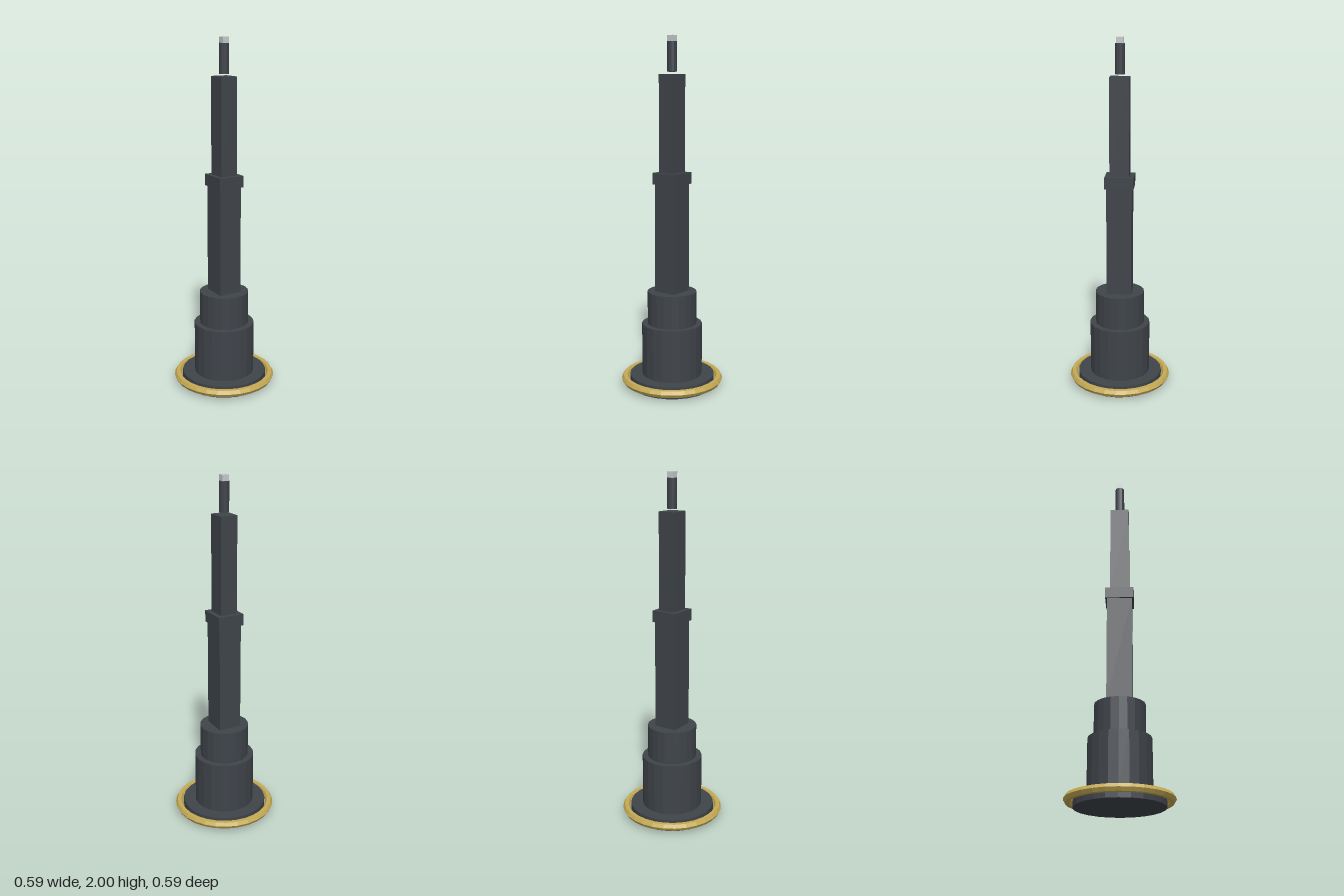
import * as THREE from 'three';

export function createModel() {
  const model = new THREE.Group();
  const material = (name, color) => {
    const m = new THREE.MeshStandardMaterial({ color, flatShading: true });
    m.name = name;
    return m;
  };
  const dark = material('dark slate', 0x3f444a);
  const gold = material('gold', 0xc4aa54);
  const silver = material('light silver', 0xc6cacd);

  const add = (name, geometry, mat, y) => {
    const mesh = new THREE.Mesh(geometry, mat);
    mesh.name = name;
    mesh.position.y = y;
    model.add(mesh);
    return mesh;
  };
  // Parts are given by their bottom and top heights
  const drum = (name, r, y0, y1, sides) =>
    add(name, new THREE.CylinderGeometry(r, r, y1 - y0, sides), dark, (y0 + y1) / 2);
  const block = (name, w, d, y0, y1, mat = dark) =>
    add(name, new THREE.BoxGeometry(w, y1 - y0, d), mat, (y0 + y1) / 2);

  // Round base with stepped tiers
  drum('baseDisc', 0.245, 0, 0.068, 24);
  drum('lowerTier', 0.174, 0.068, 0.37, 20);
  drum('upperTier', 0.141, 0.37, 0.56, 20);

  // Hexagonal-section ring around the base
  const ring = new THREE.TorusGeometry(0.272, 0.022, 6, 28).rotateX(Math.PI / 2);
  add('baseRing', ring, gold, 0.042);

  // Square tower shafts and collar
  block('lowerShaft', 0.134, 0.143, 0.56, 1.18);
  block('collar', 0.153, 0.163, 1.18, 1.245);
  block('upperShaft', 0.1, 0.11, 1.245, 1.79);

  // Mast and beacon
  drum('mast', 0.027, 1.803, 1.967, 12);
  block('beacon', 0.039, 0.039, 1.967, 2, silver);

  return model;
}
